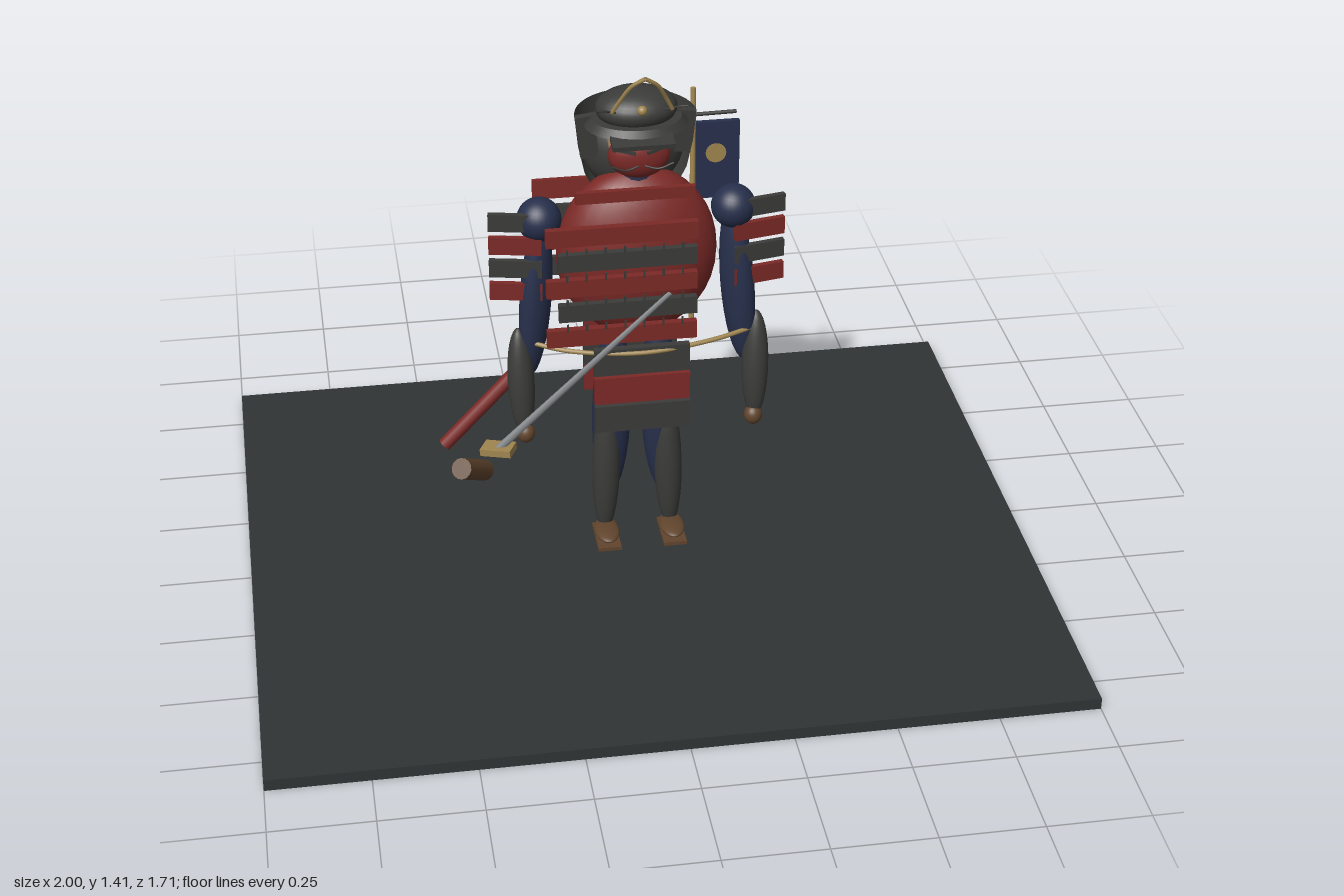
import * as THREE from 'three';

const mat = (c) => new THREE.MeshStandardMaterial({ color: c, side: THREE.DoubleSide });
const DARK = mat(0x3b3b39), RED = mat(0x7c2a27), NAVY = mat(0x27304c), GOLD = mat(0xa08650);
const BROWN = mat(0x61452d), SKIN = mat(0xb09070), STEEL = mat(0x96999c), FLOOR = mat(0x313434);
const V = (p) => new THREE.Vector3(...p);

export function createModel() {
  const root = new THREE.Group();

  const add = (name, geo, material, pos = [0, 0, 0], rot = [0, 0, 0]) => {
    const m = new THREE.Mesh(geo, material);
    m.name = name;
    m.position.set(...pos);
    m.rotation.set(...rot);
    root.add(m);
    return m;
  };
  const box = (name, material, size, pos, rot) =>
    add(name, new THREE.BoxGeometry(...size), material, pos, rot);
  const ball = (name, material, r, pos, rot) =>
    add(name, new THREE.SphereGeometry(1, 28, 18).scale(...r), material, pos, rot);
  const tube = (name, material, pts, r) =>
    add(name, new THREE.TubeGeometry(new THREE.CatmullRomCurve3(pts.map(V)), 24, r, 8), material);
  // Straight part between two points, along its local y
  const between = (name, material, a, b, makeGeo) => {
    const d = V(b).sub(V(a));
    const m = add(name, makeGeo(d.length()), material, V(a).add(V(b)).multiplyScalar(0.5).toArray());
    m.quaternion.setFromUnitVectors(new THREE.Vector3(0, 1, 0), d.normalize());
    return m;
  };
  const rod = (name, material, a, b, r, r2 = r) =>
    between(name, material, a, b, (l) => new THREE.CylinderGeometry(r2, r, l, 14));
  const limb = (name, material, a, b, rx, rz) =>
    between(name, material, a, b, (l) => new THREE.SphereGeometry(1, 24, 16).scale(rx, l / 2, rz));

  // Display base
  box('base', FLOOR, [2, 0.03, 1.71], [0, 0.015, 0]);

  // Body
  ball('torso', RED, [0.2, 0.228, 0.11], [0, 0.886, 0.01]);
  rod('neck', NAVY, [0, 1.06, 0.01], [0, 1.17, 0.01], 0.045, 0.038);
  ball('head', SKIN, [0.07, 0.085, 0.065], [0, 1.19, 0.01]);
  ball('faceMask', RED, [0.076, 0.06, 0.04], [0, 1.168, 0.052]);

  // Limbs, mirrored
  for (const s of [-1, 1]) {
    limb('thigh', NAVY, [s * 0.055, 0.68, 0], [s * 0.07, 0.17, 0], 0.05, 0.042);
    limb('shin', DARK, [s * 0.075, 0.47, 0.015], [s * 0.085, 0.07, 0.025], 0.034, 0.036);
    ball('foot', BROWN, [0.032, 0.012, 0.058], [s * 0.085, 0.095, 0.06]);
    box('sandal', BROWN, [0.06, 0.01, 0.12], [s * 0.085, 0.075, 0.06]);
    ball('shoulder', NAVY, [0.055, 0.055, 0.055], [s * 0.24, 0.99, 0.012]);
    limb('upperArm', NAVY, [s * 0.235, 1.0, 0.012], [s * 0.27, 0.56, 0.025], 0.045, 0.035);
    limb('forearm', DARK, [s * 0.3, 0.7, 0.03], [s * 0.293, 0.41, 0.065], 0.034, 0.032);
    ball('hand', BROWN, [0.023, 0.026, 0.023], [s * 0.29, 0.418, 0.07]);
    // Shoulder guard lames
    for (let i = 0; i < 4; i++)
      box('shoulderLame', i % 2 ? RED : DARK, [0.13, 0.046, 0.014],
        [s * 0.302, 0.997 - i * 0.063, 0.035], [0, s * 0.2, 0]);
    // Mask brow and moustache
    box('maskBrow', DARK, [0.045, 0.008, 0.01], [s * 0.035, 1.192, 0.083], [0, s * 0.35, s * 0.15]);
    tube('moustache', DARK, [[s * 0.008, 1.155, 0.092], [s * 0.04, 1.15, 0.1], [s * 0.075, 1.165, 0.105]], 0.0025);
    // Helmet side flap, crest horn and whisker
    box('helmetFlap', DARK, [0.045, 0.11, 0.02], [s * 0.118, 1.195, -0.01], [0, 0, s * -0.12]);
    tube('crestHorn', GOLD, [[s * 0.072, 1.305, 0.1], [s * 0.055, 1.34, 0.112],
      [s * 0.03, 1.385, 0.133], [0, 1.408, 0.145]], 0.005);
    tube('helmetCord', DARK, [[s * 0.06, 1.29, 0.07], [s * 0.09, 1.305, 0.09], [s * 0.11, 1.31, 0.1]], 0.0025);
  }

  // Chest and back lames with lacing
  box('collarLame', RED, [0.29, 0.03, 0.014], [-0.015, 1.08, 0.09]);
  for (let i = 0; i < 5; i++) {
    const y = 1.0 - i * 0.069, w = i % 2 ? 0.34 : 0.37, m = i % 2 ? DARK : RED;
    box('chestLame', m, [w, 0.046, 0.018], [0.13 - w / 2, y, 0.135]);
    box('backLame', m, [w, 0.05, 0.014], [0.13 - w / 2, y, -0.127 + i * 0.006], [-0.08, 0, 0]);
    if (i < 4)
      for (let k = 0; k < 7; k++)
        box('lacing', DARK, [0.005, 0.02, 0.004], [-0.19 + k * 0.047, y - 0.035, 0.152]);
  }

  // Skirt panels, three hanging plates in each column
  for (let c = -1; c <= 1; c++)
    for (let r = 0; r < 3; r++) {
      const y = 0.622 - r * 0.077;
      box('frontSkirtPlate', r === 1 ? RED : DARK, [0.084, 0.074, 0.018], [c * 0.078, y, 0.095 + r * 0.008]);
      box('backSkirtPlate', r === 1 ? DARK : RED, [0.084, 0.074, 0.018], [c * 0.078, y, -0.095 - r * 0.002]);
    }
  tube('beltCord', GOLD, [[-0.28, 0.665, 0.04], [-0.18, 0.652, 0.08], [0, 0.645, 0.105],
    [0.18, 0.652, 0.08], [0.3, 0.66, 0.04]], 0.006);

  // Helmet
  ball('helmetBowl', DARK, [0.1, 0.05, 0.078], [0, 1.272, 0.005]);
  ball('helmetKnob', DARK, [0.03, 0.012, 0.03], [0, 1.312, 0]);
  add('helmetBrim', new THREE.CylinderGeometry(0.1, 0.115, 0.02, 32).scale(1.1, 1, 0.85), DARK, [0, 1.24, 0.01]);
  box('visor', DARK, [0.15, 0.012, 0.07], [0, 1.228, 0.098], [0.15, 0, 0]);
  ball('crestBead', GOLD, [0.012, 0.012, 0.012], [0, 1.305, 0.1]);
  const guard = [[0.055, 1.02], [0.1, 1.05], [0.125, 1.1], [0.14, 1.17], [0.148, 1.25]];
  add('neckGuard', new THREE.LatheGeometry(guard.map((p) => new THREE.Vector2(...p)), 28, Math.PI / 2, Math.PI), DARK);
  ball('neckGuardPad', DARK, [0.125, 0.115, 0.085], [0, 1.14, -0.055]);

  // Back banner
  rod('bannerPole', GOLD, [0.158, 0.56, -0.095], [0.165, 1.24, -0.145], 0.007);
  rod('bannerCrossbar', DARK, [0.13, 1.165, -0.147], [0.275, 1.165, -0.152], 0.005);
  box('banner', NAVY, [0.115, 0.21, 0.014], [0.225, 1.04, -0.147]);
  add('bannerDisc', new THREE.CylinderGeometry(0.026, 0.026, 0.018, 24), GOLD, [0.223, 1.06, -0.147], [Math.PI / 2, 0, 0]);

  // Sword and scabbard
  const guardAt = [-0.365, 0.405, 0.115];
  between('blade', STEEL, guardAt, [0.035, 0.92, 0.3],
    (l) => new THREE.CylinderGeometry(0.006, 0.011, l, 6).scale(1, 1, 0.7));
  box('swordGuard', GOLD, [0.08, 0.018, 0.05], guardAt, [0, -0.45, 0.1]);
  rod('swordGrip', BROWN, [-0.46, 0.365, 0.13], [-0.395, 0.29, 0.03], 0.027);
  rod('scabbard', RED, [-0.24, 0.56, -0.09], [-0.485, 0.31, -0.075], 0.018);

  return root;
}
